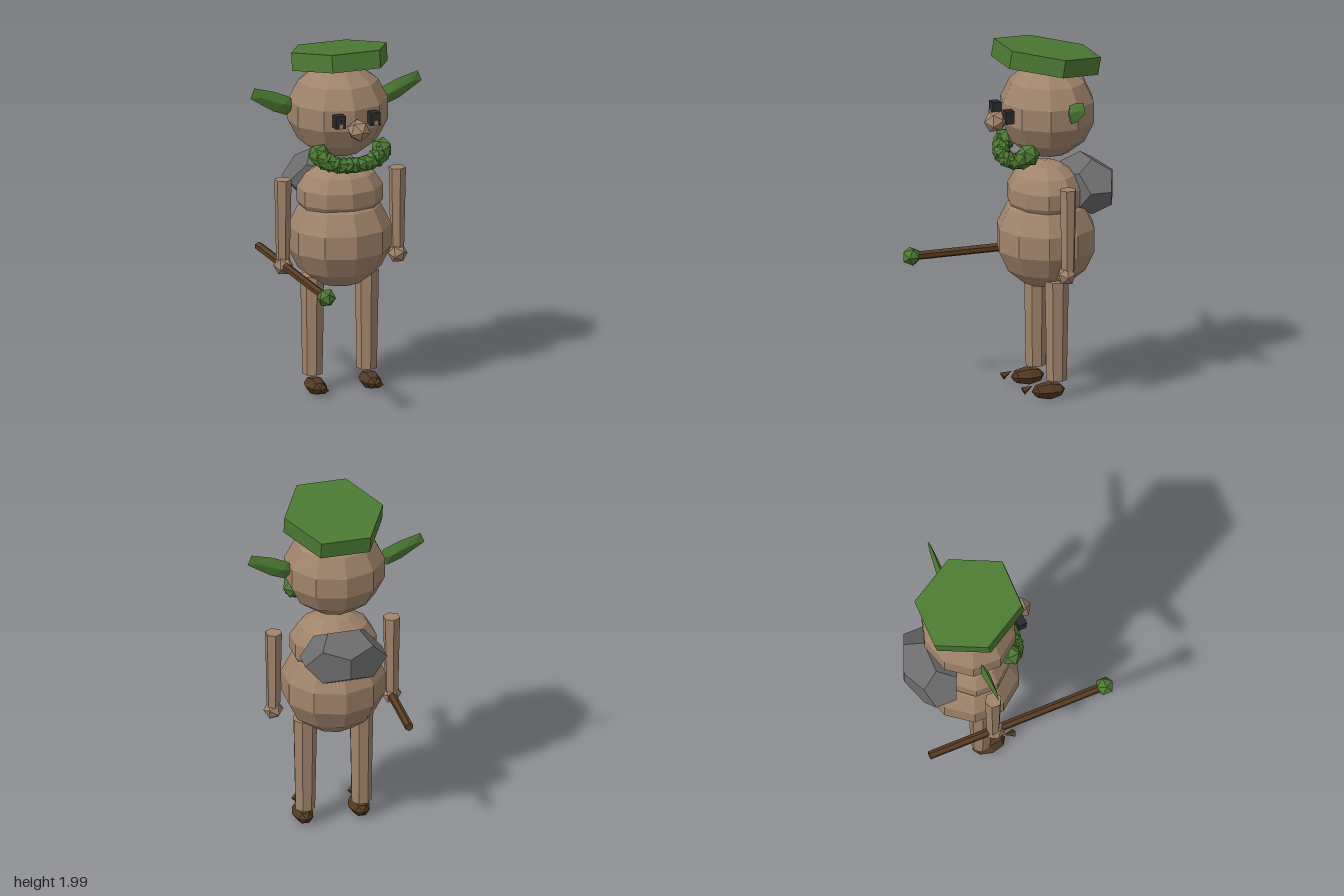
import * as THREE from 'three';
import { ConvexGeometry } from 'three/addons/geometries/ConvexGeometry.js';

const flat = (name, color) => {
  const m = new THREE.MeshStandardMaterial({ color, flatShading: true });
  m.name = name;
  return m;
};

export function createModel() {
  const skin = flat('barkSkin', 0xa0846b);
  const leaf = flat('leafGreen', 0x4c7a33);
  const wood = flat('staffWood', 0x583c22);
  const shoe = flat('shoeBrown', 0x523a22);
  const stone = flat('stoneGrey', 0x6c6c6c);
  const dark = flat('eyeDark', 0x2b2b2d);

  const model = new THREE.Group();
  model.name = 'forestFigure';
  const Z = -0.165; // depth of the body axis

  const add = (name, geo, mat, pos, scale = [1, 1, 1], rot = [0, 0, 0], parent = model) => {
    const m = new THREE.Mesh(geo, mat);
    m.name = name;
    m.position.set(...pos);
    m.scale.set(...scale);
    m.rotation.set(...rot);
    parent.add(m);
    return m;
  };

  // Faceted balls for head, chest and belly, with an edge facing forwards
  const ball = new THREE.SphereGeometry(1, 10, 7).rotateY(Math.PI / 2);
  add('belly', ball, skin, [0.005, 0.885, Z], [0.295, 0.285, 0.282]);
  add('chest', ball, skin, [0.005, 1.135, -0.158], [0.248, 0.185, 0.21]);
  add('head', ball, skin, [0, 1.61, -0.175], [0.285, 0.267, 0.268]);

  // Tilted six-sided cap
  add('cap', new THREE.CylinderGeometry(0.3, 0.3, 0.1, 6).rotateY(Math.PI / 6), leaf,
    [0.005, 1.91, -0.166], [0.935, 1, 1.02], [-0.165, 0, 0]);
  fixCap(model.getObjectByName('cap'));

  // Nose
  add('nose', new THREE.IcosahedronGeometry(0.066, 0), skin, [0.005, 1.57, 0.133], [1, 0.92, 1], [0.5, 0, 0]);

  // Eyes: a dark block with a small peg at the lower front
  for (const x of [-0.095, 0.11]) {
    add('eye', new THREE.BoxGeometry(0.058, 0.072, 0.05), dark, [x, 1.62, 0.095]);
    add('eyePeg', new THREE.BoxGeometry(0.022, 0.026, 0.015), skin, [x, 1.6, 0.123]);
  }

  // Ears: leaf outline with a ridge on both faces
  const outline = [[0.24, 1.64], [0.27, 1.695], [0.36, 1.735], [0.48, 1.768],
    [0.503, 1.71], [0.37, 1.625], [0.29, 1.595]];
  for (const s of [-1, 1]) {
    const pts = outline.map(([x, y]) => new THREE.Vector3(s * x, y, -0.205));
    for (const dz of [-0.022, 0.022]) {
      pts.push(new THREE.Vector3(s * 0.31, 1.66, -0.205 + dz));
      pts.push(new THREE.Vector3(s * 0.45, 1.715, -0.205 + dz * 0.5));
    }
    add(s > 0 ? 'leftEar' : 'rightEar', new ConvexGeometry(pts), leaf, [0, 0, 0]);
  }

  // Beard: an arc of overlapping tufts, larger at the ends
  const beard = new THREE.Group();
  beard.name = 'beard';
  model.add(beard);
  const tuft = new THREE.IcosahedronGeometry(1, 0);
  const count = 15;
  for (let i = 0; i < count; i++) {
    const t = (i / (count - 1)) * 2 - 1;
    const r = 0.05 + 0.014 * t * t;
    add('beardTuft', tuft, leaf,
      [0.005 + 0.185 * Math.sin(t * 1.4), 1.352 + 0.06 * t * t, 0.068 - 0.062 * t * t],
      [r, r, r], [i * 0.7, i * 1.1, t], beard);
  }

  // Limbs, hands and shoes
  const arm = new THREE.CylinderGeometry(0.048, 0.038, 0.46, 6);
  const leg = new THREE.CylinderGeometry(0.068, 0.057, 0.565, 7);
  const hand = new THREE.IcosahedronGeometry(0.056, 0);
  const foot = new THREE.SphereGeometry(1, 6, 4).rotateX(Math.PI / 2);
  const toe = new THREE.ConeGeometry(0.024, 0.06, 4);
  for (const s of [-1, 1]) {
    const side = s > 0 ? 'left' : 'right';
    const ax = s > 0 ? 0.345 : -0.327;
    const lx = s > 0 ? 0.167 : -0.153;
    add(side + 'Arm', arm, skin, [ax, 1.01, Z]);
    add(side + 'Hand', hand, skin, [ax - 0.002, 0.75, -0.155], [1, 1, 1], [0.3, 0.4, 0]);
    add(side + 'Leg', leg, skin, [lx, 0.393, Z]);
    add(side + 'Shoe', foot, shoe, [lx, 0.052, -0.118], [0.06, 0.05, 0.098]);
    add(side + 'ShoeTip', toe, shoe, [lx, 0.075, 0.003], [1, 1, 1], [-1.15, 0, 0]);
  }

  // Staff held level in the right hand, with a leafy knob at the front
  add('staff', new THREE.CylinderGeometry(0.024, 0.024, 1.04, 6).rotateX(Math.PI / 2), wood,
    [-0.325, 0.75, -0.025]);
  add('staffKnob', new THREE.IcosahedronGeometry(0.054, 0), leaf, [-0.325, 0.75, 0.5]);

  // Stone carried on the back
  add('backStone', new THREE.DodecahedronGeometry(1, 0), stone, [0.01, 1.168, -0.4], [0.25, 0.168, 0.167]);

  return model;
}

// Turns the cap so that two corners point sideways and a flat edge faces forwards
function fixCap(cap) {
  cap.geometry.computeBoundingBox();
  const { min, max } = cap.geometry.boundingBox;
  if (max.x - min.x < max.z - min.z) cap.geometry.rotateY(Math.PI / 6);
}
